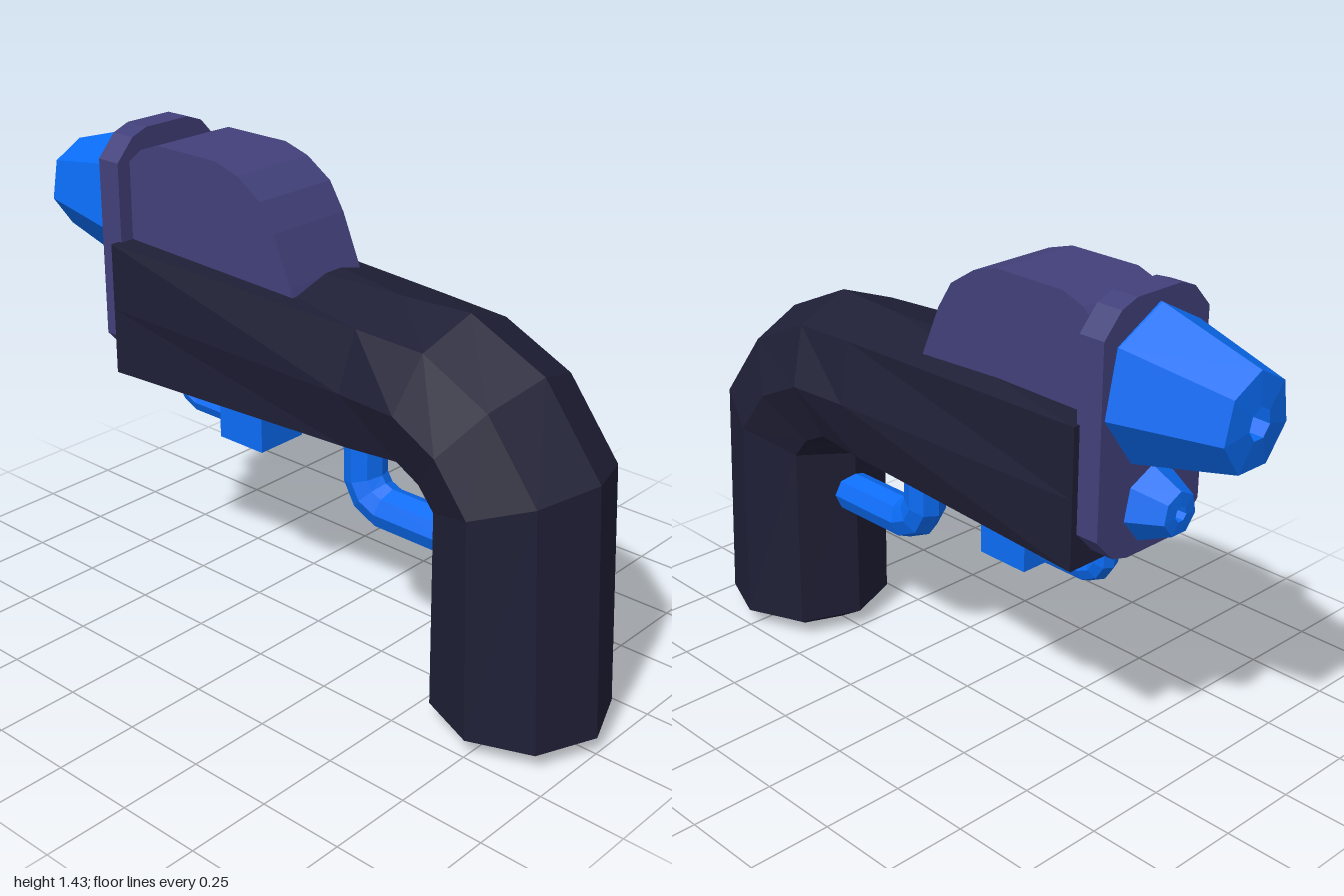
import * as THREE from 'three';

const mat = (color) => new THREE.MeshStandardMaterial({ color, flatShading: true });

// Eight-sided sweep. Station: [x, y of one edge, x, y of the opposite edge, half depth, corner fullness]
function sweep(stations) {
  const pos = [], idx = [], n = 8;
  for (const [ax, ay, bx, by, w, k = 0.71] of stations) {
    for (let i = 0; i < n; i++) {
      const a = (i / n) * Math.PI * 2, f = i % 2 ? k * Math.SQRT2 : 1;
      const u = Math.cos(a) * f, v = Math.sin(a) * f;
      pos.push((ax + bx) / 2 + ((ax - bx) / 2) * u, (ay + by) / 2 + ((ay - by) / 2) * u, w * v);
    }
  }
  const last = (stations.length - 1) * n;
  for (let r = 0; r < last; r += n) {
    for (let i = 0; i < n; i++) {
      const j = (i + 1) % n;
      idx.push(r + i, r + j, r + n + j, r + i, r + n + j, r + n + i);
    }
  }
  for (let i = 1; i < n - 1; i++) idx.push(0, i + 1, i, last, last + i, last + i + 1);
  const g = new THREE.BufferGeometry();
  g.setAttribute('position', new THREE.Float32BufferAttribute(pos, 3));
  g.setIndex(idx);
  g.computeVertexNormals();
  return g;
}

// Extruded outline, centred on its depth
function slab(points, depth) {
  const g = new THREE.ExtrudeGeometry(
    new THREE.Shape(points.map(([x, y]) => new THREE.Vector2(x, y))),
    { depth, bevelEnabled: false });
  return g.translate(0, 0, -depth / 2);
}

// Seven-sided tapered nozzle pointing to -x, with a bored tip
function nozzle(r, tip, bore, length) {
  const profile = [[r, -0.02], [r, 0], [tip, length * 0.97], [bore, length], [bore, length * 0.6], [0, length * 0.6]];
  return new THREE.LatheGeometry(profile.map(([x, y]) => new THREE.Vector2(x, y)), 7, Math.PI / 2)
    .rotateZ(Math.PI / 2);
}

export function createModel() {
  const model = new THREE.Group();
  const dark = mat(0x1f1f36), violet = mat(0x42407a), blue = mat(0x0a6cf5);
  const add = (name, geometry, material, x = 0, y = 0, z = 0) => {
    const mesh = new THREE.Mesh(geometry, material);
    mesh.name = name;
    mesh.position.set(x, y, z);
    model.add(mesh);
    return mesh;
  };

  // Boxy body that rounds off and bends down into the grip
  add('bodyAndGrip', sweep([
    [-0.61, 1.11, -0.61, 0.71, 0.22, 1],
    [0.3, 1.12, 0.26, 0.685, 0.228, 0.8],
    [0.53, 1.13, 0.42, 0.675, 0.242, 0.72],
    [0.77, 1.02, 0.47, 0.645, 0.25],
    [0.955, 0.78, 0.5, 0.61, 0.25],
    [1.0, 0.05, 0.5, 0.055, 0.25],
    [0.92, 0.0, 0.59, 0.0, 0.165],
  ]), dark);

  // Upright plate with clipped corners
  const half = [[0.08, 1.43], [0.135, 1.41], [0.195, 1.345], [0.195, 0.81], [0.135, 0.745], [0.08, 0.73]];
  const outline = [...half, ...half.map(([z, y]) => [-z, y]).reverse()];
  add('frontPlate', slab(outline, 0.08).rotateY(Math.PI / 2), violet, -0.64, 0, -0.005);

  // Curved housing on top
  add('topHousing', slab([
    [-0.61, 1.05], [0.05, 1.05], [0.03, 1.11], [-0.03, 1.25], [-0.08, 1.33],
    [-0.165, 1.385], [-0.25, 1.41], [-0.48, 1.41], [-0.55, 1.385], [-0.61, 1.335],
  ], 0.28), violet, 0, 0, 0.005);

  // Large and small nozzles
  const muzzle = add('muzzle', nozzle(0.215, 0.135, 0.045, 0.32), blue, -0.68, 1.185);
  muzzle.rotation.z = 0.03;
  muzzle.scale.z = 0.9;
  add('lowerNozzle', nozzle(0.105, 0.062, 0.022, 0.1), blue, -0.68, 0.86);

  // Bent tubes under the body
  add('triggerGuard', sweep([
    [0.242, 0.74, 0.116, 0.74, 0.063],
    [0.242, 0.57, 0.122, 0.53, 0.063],
    [0.255, 0.55, 0.165, 0.455, 0.063],
    [0.28, 0.54, 0.25, 0.415, 0.063],
    [0.56, 0.54, 0.56, 0.415, 0.063],
  ]), blue);
  add('frontTube', sweep([
    [-0.488, 0.74, -0.57, 0.74, 0.041],
    [-0.488, 0.65, -0.565, 0.625, 0.041],
    [-0.48, 0.64, -0.535, 0.58, 0.041],
    [-0.46, 0.633, -0.48, 0.553, 0.041],
    [-0.28, 0.633, -0.28, 0.553, 0.041],
  ]), blue);
  add('underBlock', new THREE.BoxGeometry(0.17, 0.18, 0.17), blue, -0.23, 0.635);

  return model;
}
